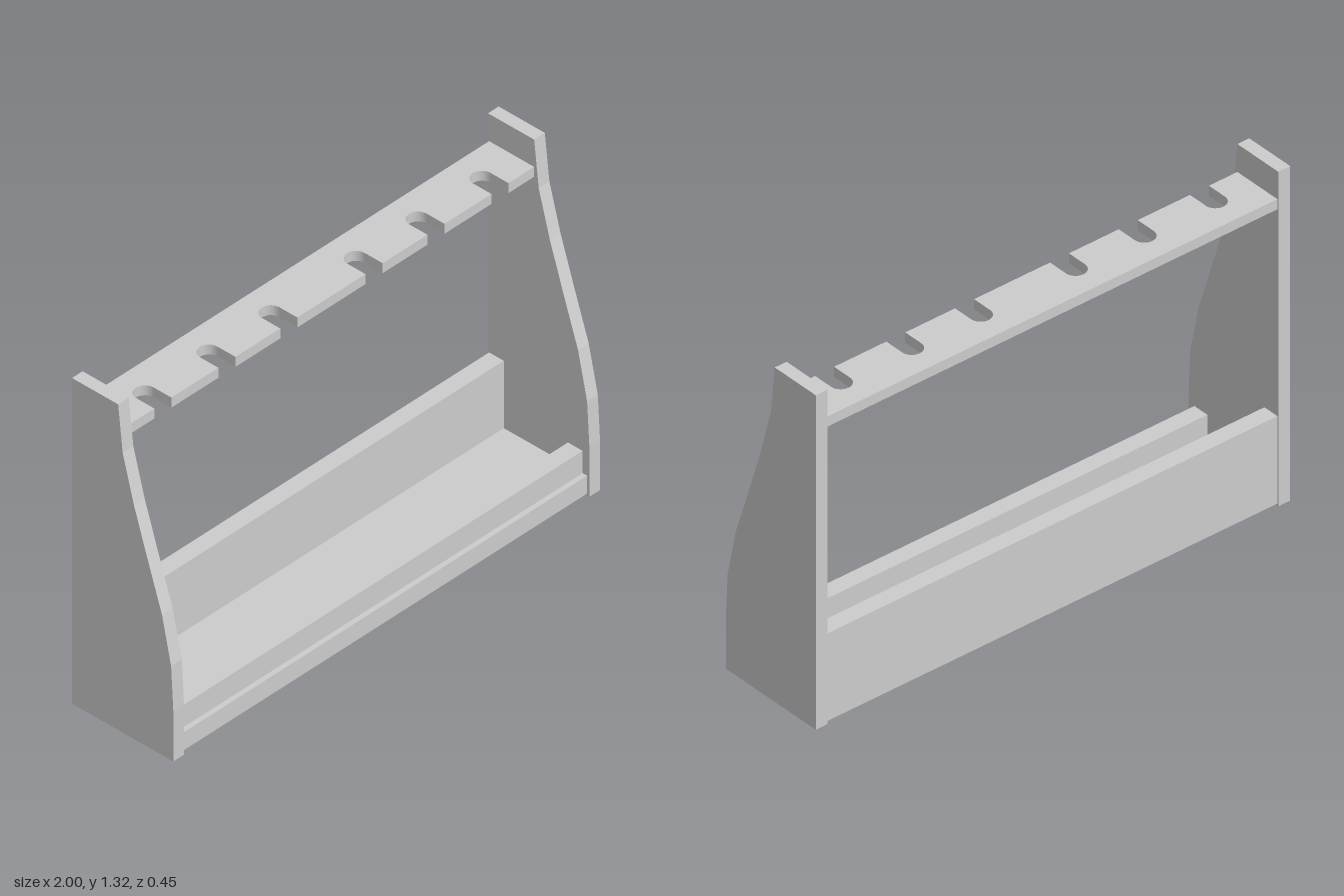
import * as THREE from 'three';

const material = new THREE.MeshStandardMaterial({ color: 0xcccccc, flatShading: true });
const INNER = 0.95; // half the distance between the side panels

function add(group, name, geometry) {
  const mesh = new THREE.Mesh(geometry, material);
  mesh.name = name;
  group.add(mesh);
  return mesh;
}

// Board spanning between the side panels, given by its y and z limits
function board(group, name, y0, y1, z0, z1) {
  const mesh = add(group, name, new THREE.BoxGeometry(INNER * 2, y1 - y0, z1 - z0));
  mesh.position.set(0, (y0 + y1) / 2, (z0 + z1) / 2);
}

export function createModel() {
  const group = new THREE.Group();
  group.name = 'rack';

  // Side panels: straight back, curved front edge, points as [z, y]
  const profile = [
    [-0.225, 0], [0.225, 0], [0.225, 0.2], [0.215, 0.38], [0.175, 0.565], [0.11, 0.76],
    [0.05, 0.945], [0, 1.13], [-0.02, 1.315], [-0.225, 1.315],
  ];
  const sideShape = new THREE.Shape(profile.map(([z, y]) => new THREE.Vector2(-z, y)));
  const sideGeometry = new THREE.ExtrudeGeometry(sideShape, { depth: 0.05, bevelEnabled: false });
  sideGeometry.rotateY(Math.PI / 2); // extrusion now runs along +x
  add(group, 'leftSidePanel', sideGeometry).position.x = INNER;
  add(group, 'rightSidePanel', sideGeometry).position.x = -INNER - 0.05;

  // Base tray: floor, back board and front lip
  board(group, 'floorBoard', 0.008, 0.08, -0.22, 0.215);
  board(group, 'backBoard', 0.08, 0.352, -0.22, -0.155);
  board(group, 'frontLip', 0.08, 0.17, 0.13, 0.195);

  // Upper rail with round-ended notches along its front edge (shape y = -z)
  const radius = 0.04;
  const railShape = new THREE.Shape();
  railShape.moveTo(-INNER, 0.22);
  railShape.lineTo(-INNER, 0.02);
  for (const x of [-0.79, -0.49, -0.2, 0.2, 0.49, 0.79]) {
    railShape.lineTo(x - radius, 0.02);
    railShape.lineTo(x - radius, 0.1);
    railShape.absarc(x, 0.1, radius, Math.PI, 0, true);
    railShape.lineTo(x + radius, 0.02);
  }
  railShape.lineTo(INNER, 0.02);
  railShape.lineTo(INNER, 0.22);
  railShape.closePath();
  const railGeometry = new THREE.ExtrudeGeometry(railShape, { depth: 0.04, bevelEnabled: false, curveSegments: 16 });
  railGeometry.rotateX(-Math.PI / 2);
  add(group, 'notchedRail', railGeometry).position.y = 1.165;

  return group;
}
